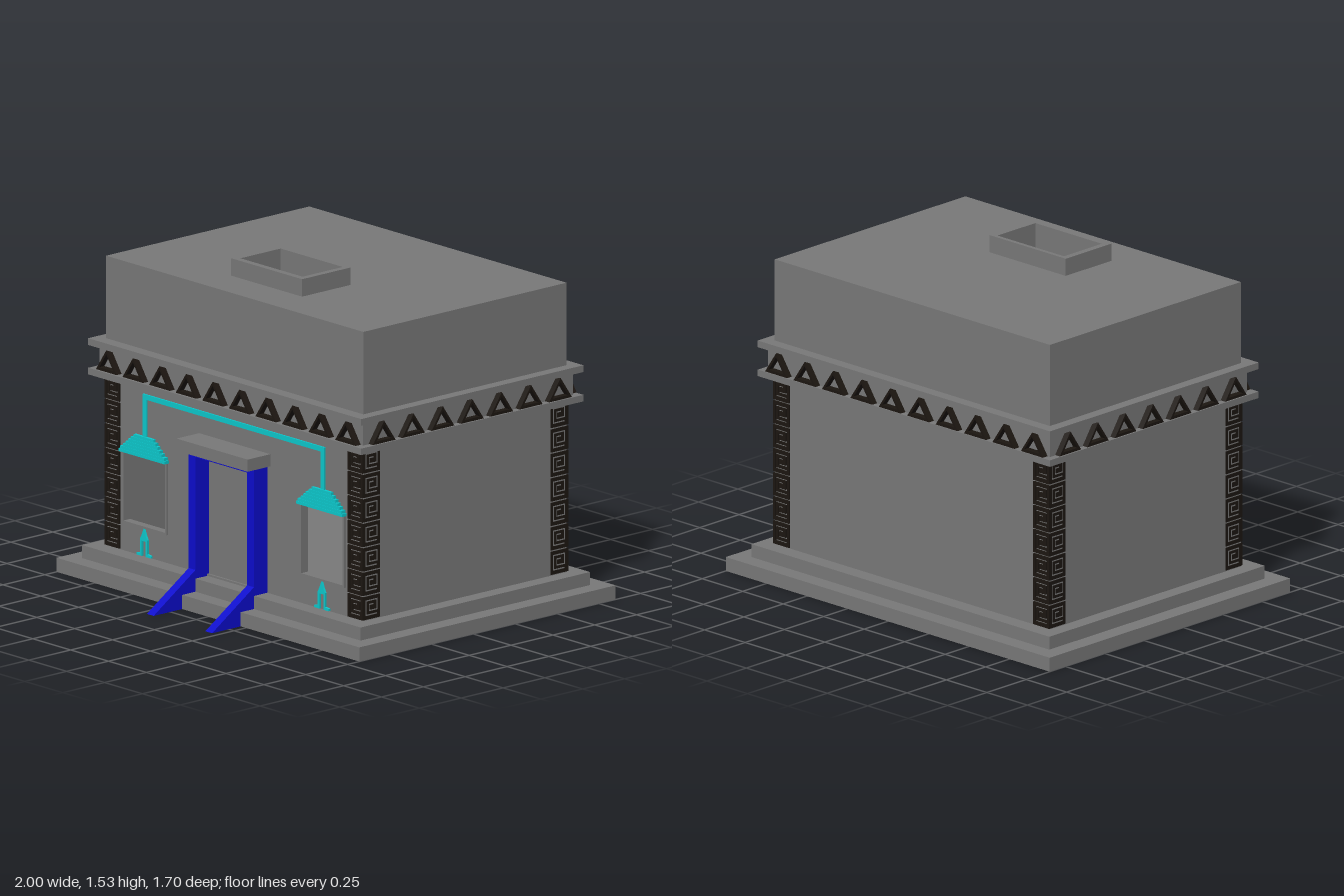
import * as THREE from 'three';

const mat = (color) => new THREE.MeshStandardMaterial({ color, flatShading: true });
const grey = mat(0x787878), dark = mat(0x1c1611), black = mat(0x0e0e0e), blue = mat(0x0c0ccc), teal = mat(0x0cc8cc);
const X = 0.85, ZF = 0.52, ZB = -0.694, MID = (ZF + ZB) / 2;

const pts = (list) => list.map(([x, y]) => new THREE.Vector2(x, y));
const rect = (x0, x1, y0, y1) => pts([[x0, y0], [x1, y0], [x1, y1], [x0, y1]]);

function extrude(outline, holes, depth) {
  const shape = new THREE.Shape(outline);
  holes.forEach((h) => shape.holes.push(new THREE.Path(h)));
  return new THREE.ExtrudeGeometry(shape, { depth, bevelEnabled: false });
}

function add(parent, name, geometry, material, x = 0, y = 0, z = 0) {
  const mesh = new THREE.Mesh(geometry, material);
  mesh.name = name;
  mesh.position.set(x, y, z);
  parent.add(mesh);
}

// Box given by its limits
function block(parent, name, material, x0, x1, y0, y1, z0, z1) {
  add(parent, name, new THREE.BoxGeometry(x1 - x0, y1 - y0, z1 - z0), material,
    (x0 + x1) / 2, (y0 + y1) / 2, (z0 + z1) / 2);
}

// Horizontal slab with a rectangular opening; limits are [x0, x1, z0, z1]
function frameSlab(parent, name, outer, inner, y0, y1) {
  const plan = ([x0, x1, z0, z1]) => rect(x0, x1, -z1, -z0);
  const g = extrude(plan(outer), [plan(inner)], y1 - y0).rotateX(-Math.PI / 2);
  add(parent, name, g, grey, 0, y0, 0);
}

// Outline of a square-cornered line of the given width
function lineOutline(path, width) {
  const left = [], right = [], h = width / 2;
  path.forEach(([x, y], i) => {
    const dir = (a, b) => [Math.sign(b[0] - a[0]), Math.sign(b[1] - a[1])];
    const a = i > 0 ? dir(path[i - 1], path[i]) : [0, 0];
    const b = i < path.length - 1 ? dir(path[i], path[i + 1]) : [0, 0];
    const ox = -(a[1] + b[1]) * h, oy = (a[0] + b[0]) * h;
    left.push([x + ox, y + oy]);
    right.unshift([x - ox, y - oy]);
  });
  return pts([...left, ...right]);
}

export function createModel() {
  const model = new THREE.Group();
  model.name = 'building';

  // Stepped base, hollow below
  frameSlab(model, 'lowerStep', [-1, 1, -0.85, 0.68], [-0.92, 0.92, -0.77, 0.6], 0, 0.065);
  frameSlab(model, 'upperStep', [-0.92, 0.92, -0.77, 0.6], [-X, X, ZB, ZF], 0.065, 0.125);
  block(model, 'floor', grey, -X, X, 0.11, 0.125, ZB, ZF);

  // Walls, the front one with two window openings
  const t = 0.03;
  block(model, 'backWall', grey, -X, X, 0.125, 0.92, ZB, ZB + t);
  for (const s of [-1, 1]) {
    const c = s * (X - t / 2);
    block(model, 'sideWall', grey, c - t / 2, c + t / 2, 0.125, 0.92, ZB + t, ZF - t);
  }
  const windows = [-0.587, 0.587];
  const opening = (c) => rect(c - 0.137, c + 0.137, 0.265, 0.58);
  add(model, 'frontWall', extrude(rect(-X, X, 0.125, 0.92), windows.map(opening), t), grey, 0, 0, ZF - t);

  // Frieze and roof block with the chimney shaft
  const shaft = [-0.205, 0.205, 0.06, 0.3];
  block(model, 'lowerCornice', grey, -0.902, 0.902, 0.91, 0.94, -0.748, 0.58);
  block(model, 'friezeBand', grey, -0.87, 0.87, 0.94, 1.045, -0.714, 0.54);
  frameSlab(model, 'upperCornice', [-0.902, 0.902, -0.748, 0.58], shaft, 1.045, 1.076);
  frameSlab(model, 'roofBlock', [-X, X, ZB, ZF], shaft, 1.076, 1.455);
  frameSlab(model, 'chimneyRim', [-0.235, 0.235, 0.04, 0.33], shaft, 1.455, 1.535);
  block(model, 'chimneyBottom', black, -0.205, 0.205, 1.045, 1.06, 0.06, 0.3);

  // Each face: triangles along the frieze and key-pattern tiles at both corners
  const triangle = extrude(pts([[-0.068, 0], [0.068, 0], [0, 0.1]]),
    [pts([[-0.046, 0.013], [0.046, 0.013], [0, 0.081]])], 0.03);
  const r = 0.033;
  const spiral = lineOutline([[r, -r], [-r, -r], [-r, r], [r, r], [r, -0.014], [-0.014, -0.014],
    [-0.014, 0.014], [0.012, 0.014]], 0.007);
  const tile = extrude(rect(-0.049, 0.049, -0.053, 0.053), [spiral], 0.008);
  const halfZ = (ZF - ZB) / 2;
  // name, turn, half width, distance of the tiles and of the triangles, triangle count
  const faces = [
    ['front', 0, X, halfZ, halfZ + 0.023, 10], ['right', -Math.PI / 2, halfZ, X - 0.005, X + 0.019, 7],
    ['back', Math.PI, X, halfZ, halfZ + 0.023, 10], ['left', Math.PI / 2, halfZ, X - 0.005, X + 0.019, 7],
  ];
  for (const [name, turn, half, tileDist, bandDist, count] of faces) {
    const face = new THREE.Group();
    face.name = name + 'Ornament';
    face.position.z = MID;
    face.rotation.y = turn;
    model.add(face);
    for (let i = 0; i < count; i++) {
      add(face, 'friezeTriangle', triangle, dark, (i - (count - 1) / 2) * 0.1755, 0.942, bandDist);
    }
    for (const s of [-1, 1]) {
      for (let i = 0; i < 7; i++) {
        add(face, 'keyTile', tile, dark, s * (half - 0.047), 0.182 + i * 0.1125, tileDist);
      }
    }
  }

  // Door frame: posts running down into sloping feet
  const post = extrude(pts([[0.5, 0], [0.85, 0], [0.6, 0.165], [0.6, 0.71], [0.5, 0.71]]), [], 0.045)
    .rotateY(-Math.PI / 2);
  for (const s of [-1, 1]) add(model, 'doorPost', post, blue, s * 0.193 + 0.0225, 0, 0);
  block(model, 'doorHead', blue, -0.173, 0.173, 0.683, 0.71, 0.5, 0.6);
  block(model, 'lintel', grey, -0.235, 0.235, 0.71, 0.766, 0.5, 0.655);
  block(model, 'threshold', grey, -0.172, 0.172, 0.125, 0.134, 0.5, 0.53);

  // Windows with stepped hoods, pipes and small spires below
  const spire = extrude(pts([[-0.048, 0], [-0.013, 0], [-0.013, 0.07], [0.013, 0.07], [0.013, 0], [0.048, 0],
    [0.048, 0.01], [0.024, 0.014], [0.024, 0.078], [0.013, 0.098], [0, 0.128], [-0.013, 0.098],
    [-0.024, 0.078], [-0.024, 0.014], [-0.048, 0.01]]), [], 0.01);
  const hoodSteps = [0.152, 0.145, 0.128, 0.113, 0.098, 0.082, 0.065];
  for (const c of windows) {
    add(model, 'windowFrame', extrude(rect(c - 0.147, c + 0.147, 0.255, 0.585), [opening(c)], 0.01), grey, 0, 0, ZF);
    hoodSteps.forEach((w, i) => {
      const y = 0.585 + i * 0.0133;
      block(model, 'hoodStep', teal, c - w, c + w, y, y + 0.0133, ZF, ZF + 0.026 - i * 0.002);
    });
    block(model, 'hoodPipe', teal, c - 0.012, c + 0.012, 0.678, 0.85, ZF, 0.528);
    add(model, 'spire', spire, teal, c - 0.004, 0.127, ZF);
  }
  block(model, 'crossPipe', teal, windows[0] - 0.012, windows[1] + 0.012, 0.85, 0.873, ZF, 0.528);

  return model;
}
